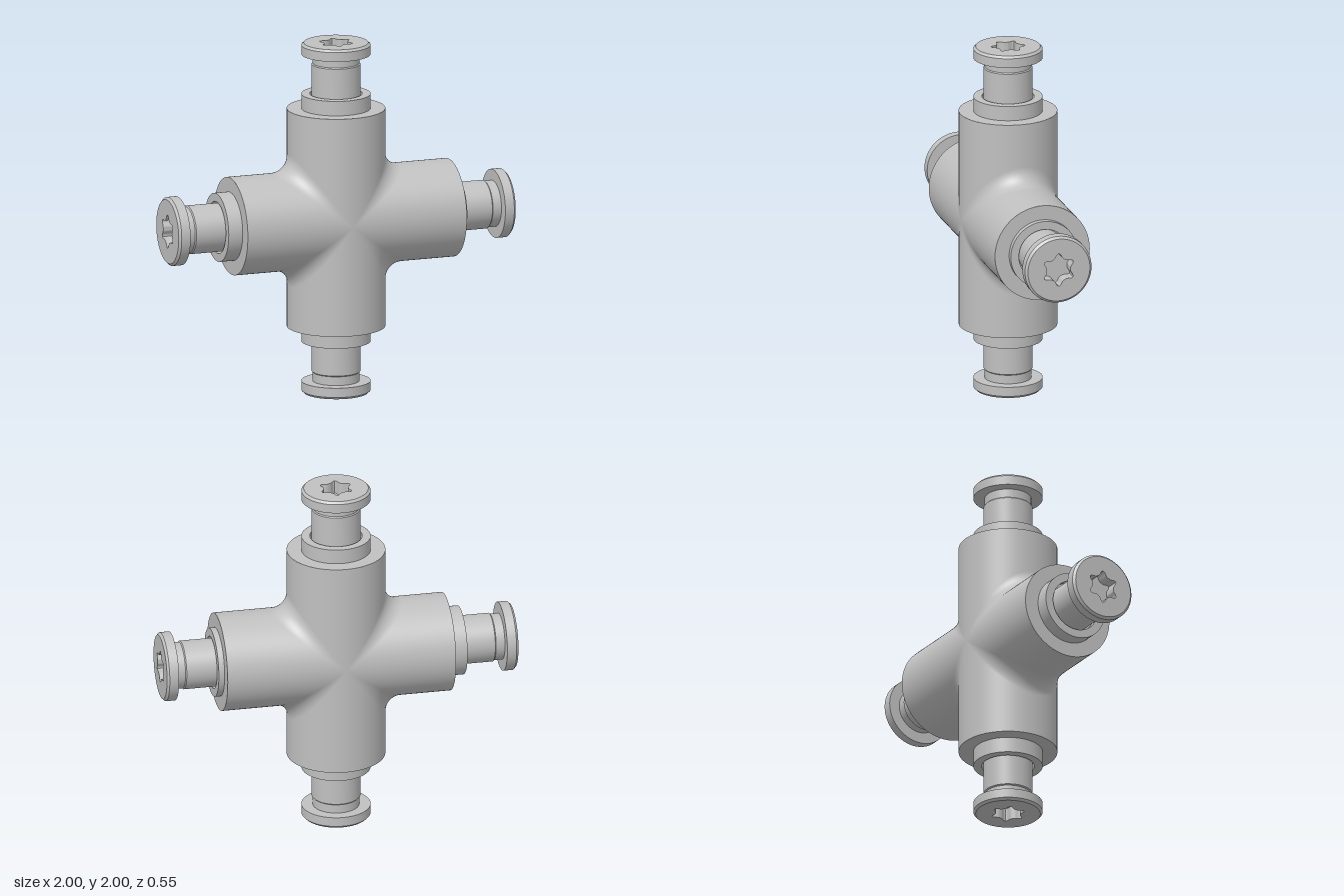
import * as THREE from 'three';
import { toCreasedNormals } from 'three/addons/utils/BufferGeometryUtils.js';

const R = 0.275;      // arm radius
const FILLET = 0.1;   // fillet radius between arms
const SEG = 64;

// One quadrant of the cross: straight arm, rolling-ball fillet, straight arm
function quadrantGeometry(sx, sy, lx, ly) {
  const pos = [], nor = [], idx = [];
  const rows = 48, arcs = 12, cols = arcs + 3, a = R + FILLET;
  const put = (p, n) => {
    pos.push(p[0] * sx, p[1] * sy, p[2]);
    nor.push(n[0] * sx, n[1] * sy, n[2]);
  };
  for (let i = 0; i <= rows; i++) {
    const t = -Math.PI / 2 + (Math.PI * i) / rows;
    const c = Math.cos(t), s = Math.sin(t);
    const omega = Math.acos(Math.min(1, s * s));
    put([R * c, ly, R * s], [c, 0, s]);
    for (let j = 0; j <= arcs; j++) {
      const k = j / arcs;
      const d = Math.sin(omega);
      const w1 = omega < 1e-4 ? 1 - k : Math.sin((1 - k) * omega) / d;
      const w2 = omega < 1e-4 ? k : Math.sin(k * omega) / d;
      const n = [c * w1, c * w2, s * (w1 + w2)];
      put([a * c - FILLET * n[0], a * c - FILLET * n[1], a * s - FILLET * n[2]], n);
    }
    put([lx, R * c, R * s], [0, c, s]);
  }
  for (let i = 0; i < rows; i++) {
    for (let j = 0; j < cols - 1; j++) {
      const p = i * cols + j, q = p + 1, u = p + cols, v = u + 1;
      if (sx * sy > 0) idx.push(p, u, q, q, u, v);
      else idx.push(p, q, u, q, v, u);
    }
  }
  const g = new THREE.BufferGeometry();
  g.setAttribute('position', new THREE.Float32BufferAttribute(pos, 3));
  g.setAttribute('normal', new THREE.Float32BufferAttribute(nor, 3));
  g.setIndex(idx);
  return g;
}

// Turned part along +y; profile listed from the arm outwards
function turned(profile) {
  const pts = profile.map(([r, y]) => new THREE.Vector2(r, y));
  return toCreasedNormals(new THREE.LatheGeometry(pts, SEG), 0.5);
}

// Six-lobed outline for the drive socket
function lobedPath(twist) {
  const pts = [];
  for (let i = 0; i < 96; i++) {
    const f = (i / 96) * Math.PI * 2;
    const r = 0.068 + 0.027 * Math.pow((1 + Math.cos(6 * f)) / 2, 2);
    pts.push(new THREE.Vector2(r * Math.cos(f + twist), r * Math.sin(f + twist)));
  }
  return new THREE.Path(pts);
}

export function createModel() {
  const model = new THREE.Group();
  model.name = 'crossFitting';
  const steel = new THREE.MeshStandardMaterial({ color: 0xc0c0c0 });
  steel.name = 'steelGrey';
  const add = (parent, name, geometry) => {
    const mesh = new THREE.Mesh(geometry, steel);
    mesh.name = name;
    parent.add(mesh);
    return mesh;
  };

  const cross = new THREE.Group();
  cross.name = 'cross';
  cross.position.y = 1;
  model.add(cross);

  // turn: rotation about z, length: arm length, twist: socket rotation
  const arms = {
    top: { turn: 0, length: 0.625, twist: 0.4 },
    right: { turn: Math.PI / 2, length: 0.625, twist: 0 },
    bottom: { turn: Math.PI, length: 0.62, twist: 0.4 },
    left: { turn: -Math.PI / 2, length: 0.675, twist: 0 },
  };

  // Filleted body
  for (const sx of [1, -1]) {
    for (const sy of [1, -1]) {
      const lx = (sx > 0 ? arms.left : arms.right).length;
      const ly = (sy > 0 ? arms.top : arms.bottom).length;
      add(cross, 'body', quadrantGeometry(sx, sy, lx, ly));
    }
  }

  for (const [side, { turn, length, twist }] of Object.entries(arms)) {
    const arm = new THREE.Group();
    arm.name = side + 'Arm';
    arm.rotation.z = turn;
    cross.add(arm);

    // Arm end face and collar with a shallow bore
    add(arm, 'collar', turned([
      [R, length], [0.193, length], [0.193, 0.708], [0.146, 0.708], [0.146, 0.67], [0.1, 0.67],
    ]));

    // Bolt: stem, slightly narrower neck and chamfered head
    add(arm, 'bolt', turned([
      [0.136, 0.66], [0.136, 0.878], [0.13, 0.884], [0.13, 0.934],
      [0.193, 0.934], [0.193, 0.987], [0.18, 1], [0.12, 1],
    ]));

    // Middle of the head, pierced by the socket
    const face = new THREE.Shape().absarc(0, 0, 0.12, 0, Math.PI * 2, false);
    face.holes.push(lobedPath(twist));
    const plug = new THREE.ExtrudeGeometry(face, {
      depth: 0.08, bevelEnabled: false, curveSegments: SEG,
    });
    plug.rotateX(-Math.PI / 2).translate(0, 0.92, 0);
    add(arm, 'socket', toCreasedNormals(plug, 0.6));

    const floor = new THREE.CircleGeometry(0.11, 32);
    floor.rotateX(-Math.PI / 2).translate(0, 0.925, 0);
    add(arm, 'socketFloor', floor);
  }
  return model;
}
